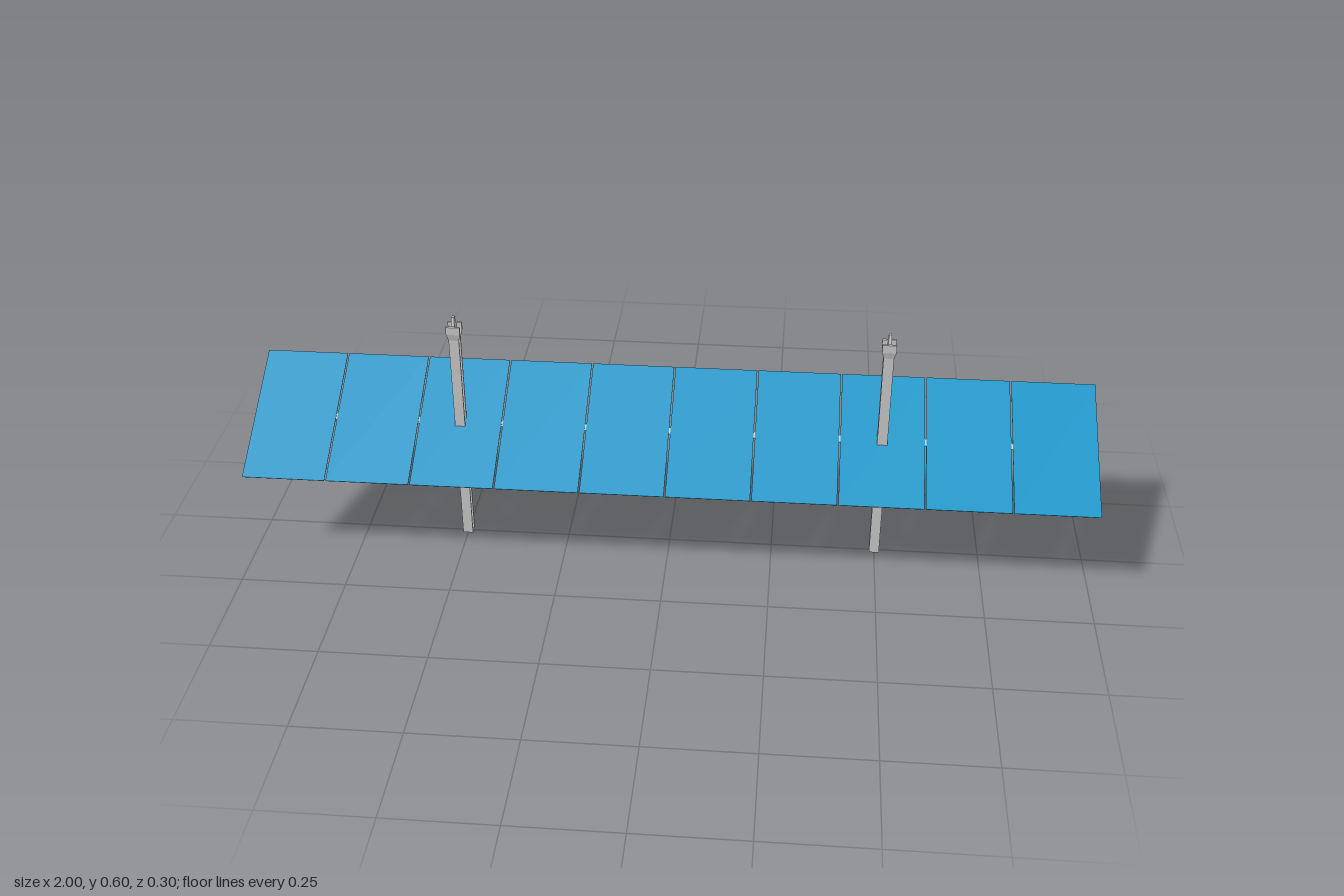
import * as THREE from 'three';

const grey = new THREE.MeshStandardMaterial({ color: 0xcccccc, flatShading: true });
const greySmooth = new THREE.MeshStandardMaterial({ color: 0xcccccc, side: THREE.DoubleSide });
const blue = new THREE.MeshStandardMaterial({ color: 0x1095c8 });

function add(parent, name, geometry, material, x = 0, y = 0, z = 0) {
  const mesh = new THREE.Mesh(geometry, material);
  mesh.name = name;
  mesh.position.set(x, y, z);
  parent.add(mesh);
  return mesh;
}

// Box with a scaled top face: lower half sizes (x0, z0), upper half sizes (x1, z1)
function taperedBox(x0, z0, x1, z1, y0, y1) {
  const g = new THREE.BoxGeometry(2, 1, 2);
  const p = g.attributes.position;
  for (let i = 0; i < p.count; i++) {
    const top = p.getY(i) > 0;
    p.setXYZ(i, p.getX(i) * (top ? x1 : x0), top ? y1 : y0, p.getZ(i) * (top ? z1 : z0));
  }
  g.computeVertexNormals();
  return g;
}

// H-shaped section extruded upwards; the top can be wider than the bottom
function hBeam(half, flange, web, y0, y1, flare = 1) {
  const h = half, f = half - flange, w = web / 2;
  const shape = new THREE.Shape([
    [-h, -h], [h, -h], [h, -f], [w, -f], [w, f], [h, f],
    [h, h], [-h, h], [-h, f], [-w, f], [-w, -f], [-h, -f],
  ].map(([x, y]) => new THREE.Vector2(x, y)));
  const g = new THREE.ExtrudeGeometry(shape, { depth: y1 - y0, bevelEnabled: false });
  g.rotateX(-Math.PI / 2).translate(0, y0, 0);
  const p = g.attributes.position;
  for (let i = 0; i < p.count; i++) {
    const s = p.getY(i) > (y0 + y1) / 2 ? flare : 1;
    p.setXYZ(i, p.getX(i) * s, p.getY(i), p.getZ(i) * s);
  }
  g.computeVertexNormals();
  return g;
}

// Half-round bar along x, round side down
function halfRound(radius, length) {
  const shape = new THREE.Shape();
  shape.absarc(0, 0, radius, Math.PI, 2 * Math.PI, false);
  shape.closePath();
  const g = new THREE.ExtrudeGeometry(shape, { depth: length, bevelEnabled: false, curveSegments: 16 });
  return g.translate(0, 0, -length / 2).rotateY(Math.PI / 2);
}

export function createModel() {
  const model = new THREE.Group();
  model.name = 'solarTracker';

  // Tilted table: panels, torque tube and clamps
  const table = new THREE.Group();
  table.name = 'tiltedTable';
  table.position.y = 0.3145;
  table.rotation.x = Math.PI / 6;
  model.add(table);

  const count = 10, pitch = 0.2, gap = 0.003;
  const panelGeo = new THREE.BoxGeometry(pitch - gap, 0.0015, 0.35);
  const clampGeo = halfRound(0.0115, 0.01);
  for (let i = 0; i < count; i++) {
    const x = (i - (count - 1) / 2) * (pitch + gap / (count - 1) * 0.99);
    add(table, 'panel', panelGeo, blue, x);
    add(table, 'clamp', clampGeo, greySmooth, x, -0.0008);
  }
  add(table, 'torqueTube', halfRound(0.009, 1.996), greySmooth, 0, -0.0008);

  // Posts with flared heads and tapered tips
  for (const x of [-0.5, 0.5]) {
    const post = new THREE.Group();
    post.name = 'post';
    post.position.x = x;
    model.add(post);
    add(post, 'postBeam', hBeam(0.012, 0.004, 0.006, 0, 0.54), grey);
    add(post, 'headFlare', hBeam(0.012, 0.004, 0.006, 0.54, 0.557, 1.36), grey);
    add(post, 'headCollar', hBeam(0.0163, 0.0054, 0.008, 0.557, 0.576), grey);
    add(post, 'headTip', taperedBox(0.004, 0.011, 0.003, 0.005, 0.574, 0.597), grey);
  }
  return model;
}
